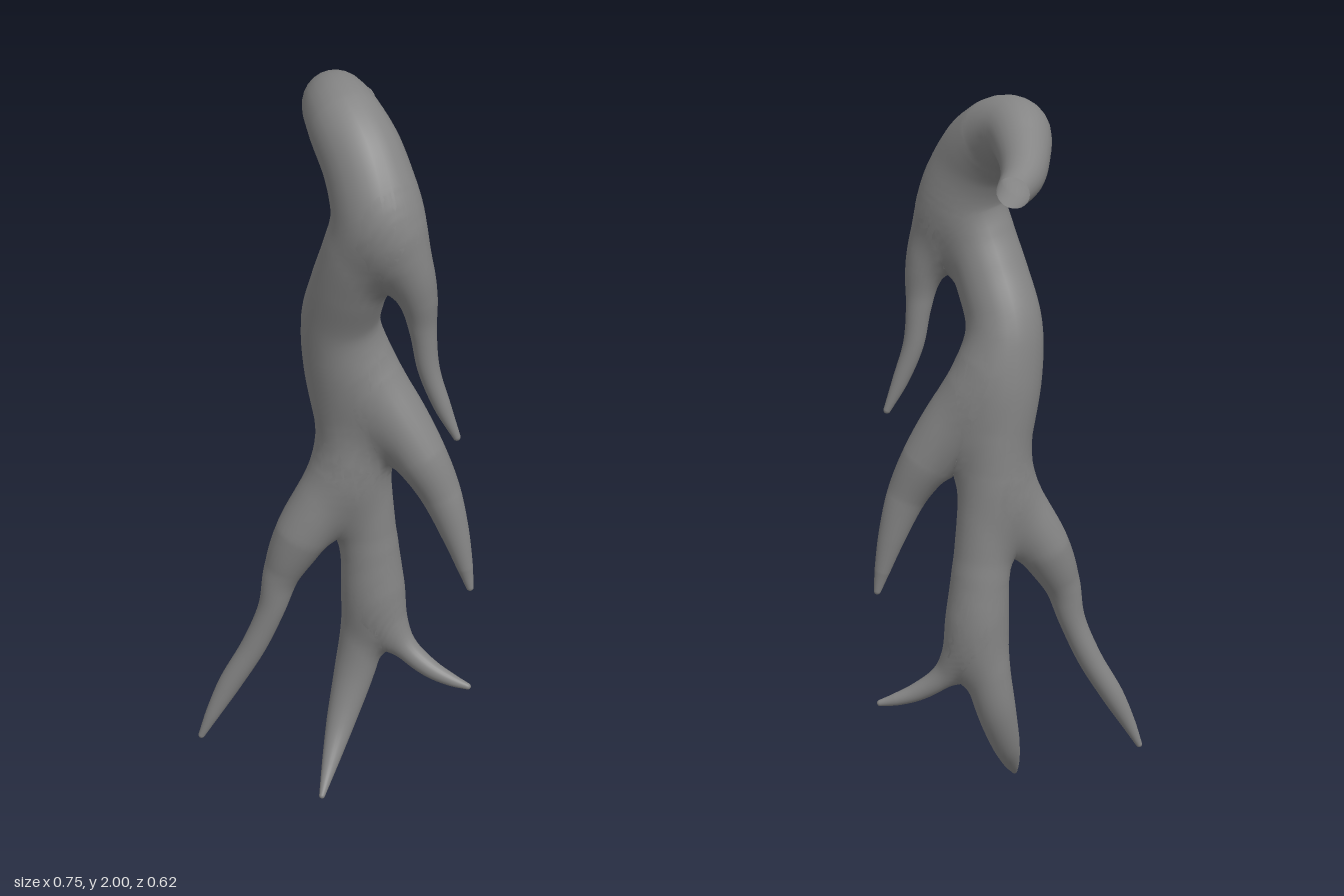
import * as THREE from 'three';

const material = new THREE.MeshStandardMaterial({ color: 0x848484, side: THREE.DoubleSide });
const SIDES = 24, STEPS = 8, BLEND = 0.075;

// [x, y, z, radius] stations of each root, from its thick end to its tip
const ROOTS = {
  // open cut end at the back, over the bend and down to the tip
  mainRoot: [
    [0.02, 1.83, -0.29, 0.042], [-0.01, 1.85, -0.2, 0.055], [-0.02, 1.885, -0.1, 0.068],
    [-0.01, 1.915, 0, 0.084], [0.03, 1.89, 0.09, 0.098], [0.085, 1.81, 0.165, 0.105],
    [0.108, 1.7, 0.198, 0.103], [0.078, 1.6, 0.183, 0.098], [0.045, 1.5, 0.15, 0.098],
    [0.015, 1.38, 0.105, 0.1], [0.02, 1.25, 0.08, 0.103], [0.037, 1.1, 0.067, 0.095],
    [0.05, 1, 0.06, 0.088], [0.07, 0.85, 0.047, 0.078], [0.085, 0.7, 0.038, 0.075],
    [0.085, 0.55, 0.032, 0.074], [0.068, 0.42, 0.025, 0.063], [0.045, 0.3, 0.037, 0.055],
    [0.015, 0.17, 0.085, 0.04], [-0.005, 0.08, 0.15, 0.024], [-0.02, 0.01, 0.222, 0.008],
  ],
  // side roots start inside the main root
  upperLeftRoot: [
    [0.105, 1.79, 0.18, 0.04], [0.14, 1.7, 0.205, 0.078], [0.187, 1.6, 0.22, 0.068],
    [0.222, 1.5, 0.218, 0.05], [0.237, 1.4, 0.212, 0.034], [0.252, 1.3, 0.21, 0.028],
    [0.288, 1.2, 0.21, 0.022], [0.326, 1.115, 0.208, 0.01],
  ],
  middleLeftRoot: [
    [0.03, 1.34, 0.085, 0.04], [0.085, 1.23, 0.085, 0.074], [0.152, 1.12, 0.095, 0.08],
    [0.222, 1.01, 0.105, 0.07], [0.277, 0.91, 0.11, 0.055], [0.32, 0.79, 0.11, 0.038],
    [0.348, 0.69, 0.11, 0.022], [0.363, 0.628, 0.11, 0.01],
  ],
  lowerRightRoot: [
    [0.05, 1.06, 0.07, 0.04], [0.015, 0.95, 0.075, 0.072], [-0.035, 0.85, 0.085, 0.077],
    [-0.09, 0.75, 0.097, 0.072], [-0.141, 0.64, 0.108, 0.051], [-0.17, 0.53, 0.113, 0.037],
    [-0.22, 0.41, 0.115, 0.034], [-0.287, 0.29, 0.122, 0.031], [-0.335, 0.195, 0.132, 0.02],
    [-0.367, 0.125, 0.137, 0.009],
  ],
  lowerLeftRoot: [
    [0.09, 0.68, 0.035, 0.035], [0.11, 0.57, 0.032, 0.054], [0.142, 0.47, 0.038, 0.045],
    [0.19, 0.395, 0.05, 0.033], [0.255, 0.345, 0.065, 0.026], [0.315, 0.318, 0.075, 0.018],
    [0.362, 0.304, 0.082, 0.009],
  ],
};

// Smooth run of rings { p: centre, d: direction, r: radius } through the stations.
function ringsAlong(stations) {
  const path = new THREE.CatmullRomCurve3(stations.map(([x, y, z]) => new THREE.Vector3(x, y, z)));
  const radii = new THREE.CatmullRomCurve3(stations.map((s, i) => new THREE.Vector3(i, s[3], 0)));
  const count = (stations.length - 1) * STEPS;
  return Array.from({ length: count + 1 }, (_, i) => {
    const t = i / count;
    return { p: path.getPoint(t), d: path.getTangent(t), r: radii.getPoint(t).y };
  });
}

// Distance from a point to the skin of one root.
function rootDistance(rings, x, y, z) {
  let best = Infinity;
  for (let i = 1; i < rings.length; i++) {
    const a = rings[i - 1], b = rings[i];
    const ex = b.p.x - a.p.x, ey = b.p.y - a.p.y, ez = b.p.z - a.p.z;
    const qx = x - a.p.x, qy = y - a.p.y, qz = z - a.p.z;
    const along = (qx * ex + qy * ey + qz * ez) / (ex * ex + ey * ey + ez * ez);
    const t = Math.min(1, Math.max(0, along));
    const gap = Math.hypot(qx - ex * t, qy - ey * t, qz - ez * t) - a.r - (b.r - a.r) * t;
    if (gap < best) best = gap;
  }
  return best;
}

// Distance to all roots together, with soft webs where they join.
function skinDistance(all, x, y, z) {
  let result = Infinity;
  for (const rings of all) {
    const d = rootDistance(rings, x, y, z);
    const h = Math.max(0, BLEND - Math.abs(result - d)) / BLEND;
    result = Math.min(result, d) - (h * h * BLEND) / 4;
  }
  return result;
}

function skinNormal(all, { x, y, z }) {
  const e = 0.002;
  return new THREE.Vector3(
    skinDistance(all, x + e, y, z) - skinDistance(all, x - e, y, z),
    skinDistance(all, x, y + e, z) - skinDistance(all, x, y - e, z),
    skinDistance(all, x, y, z + e) - skinDistance(all, x, y, z - e),
  ).normalize();
}

// Tube around the rings, rounded at the tip and drawn out onto the shared skin.
function rootMesh(name, rings, all) {
  const end = rings[rings.length - 1];
  const tip = [0.5, 1, 1.5].map((a) => ({
    p: end.p.clone().addScaledVector(end.d, end.r * Math.sin(a)), d: end.d, r: end.r * Math.cos(a),
  }));
  const positions = [], normals = [], index = [];
  const u = new THREE.Vector3(1, 0, 0), v = new THREE.Vector3();
  [...rings, ...tip].forEach(({ p, d, r }, i) => {
    // carry the ring's axis along the path without twisting
    u.addScaledVector(d, -u.dot(d)).normalize();
    v.crossVectors(d, u);
    for (let j = 0; j < SIDES; j++) {
      const a = (j / SIDES) * Math.PI * 2;
      const q = p.clone().addScaledVector(u, r * Math.cos(a)).addScaledVector(v, r * Math.sin(a));
      let n = skinNormal(all, q);
      // corners buried deep in another root stay where they are
      let gap = skinDistance(all, q.x, q.y, q.z);
      for (let pass = 0; pass < 3 && gap > -0.045 && Math.abs(gap) > 0.0005; pass++) {
        q.addScaledVector(n, -gap);
        n = skinNormal(all, q);
        gap = skinDistance(all, q.x, q.y, q.z);
      }
      positions.push(q.x, q.y, q.z);
      normals.push(n.x, n.y, n.z);
      if (i === 0) continue;
      const k = (j + 1) % SIDES, lo = (i - 1) * SIDES, hi = i * SIDES;
      index.push(lo + j, lo + k, hi + k, lo + j, hi + k, hi + j);
    }
  });
  const geometry = new THREE.BufferGeometry();
  geometry.setAttribute('position', new THREE.Float32BufferAttribute(positions, 3));
  geometry.setAttribute('normal', new THREE.Float32BufferAttribute(normals, 3));
  geometry.setIndex(index);
  const mesh = new THREE.Mesh(geometry, material);
  mesh.name = name;
  return mesh;
}

export function createModel() {
  const group = new THREE.Group();
  group.name = 'branchingRoot';
  const names = Object.keys(ROOTS);
  const all = names.map((name) => ringsAlong(ROOTS[name]));
  names.forEach((name, i) => group.add(rootMesh(name, all[i], all)));
  return group;
}
